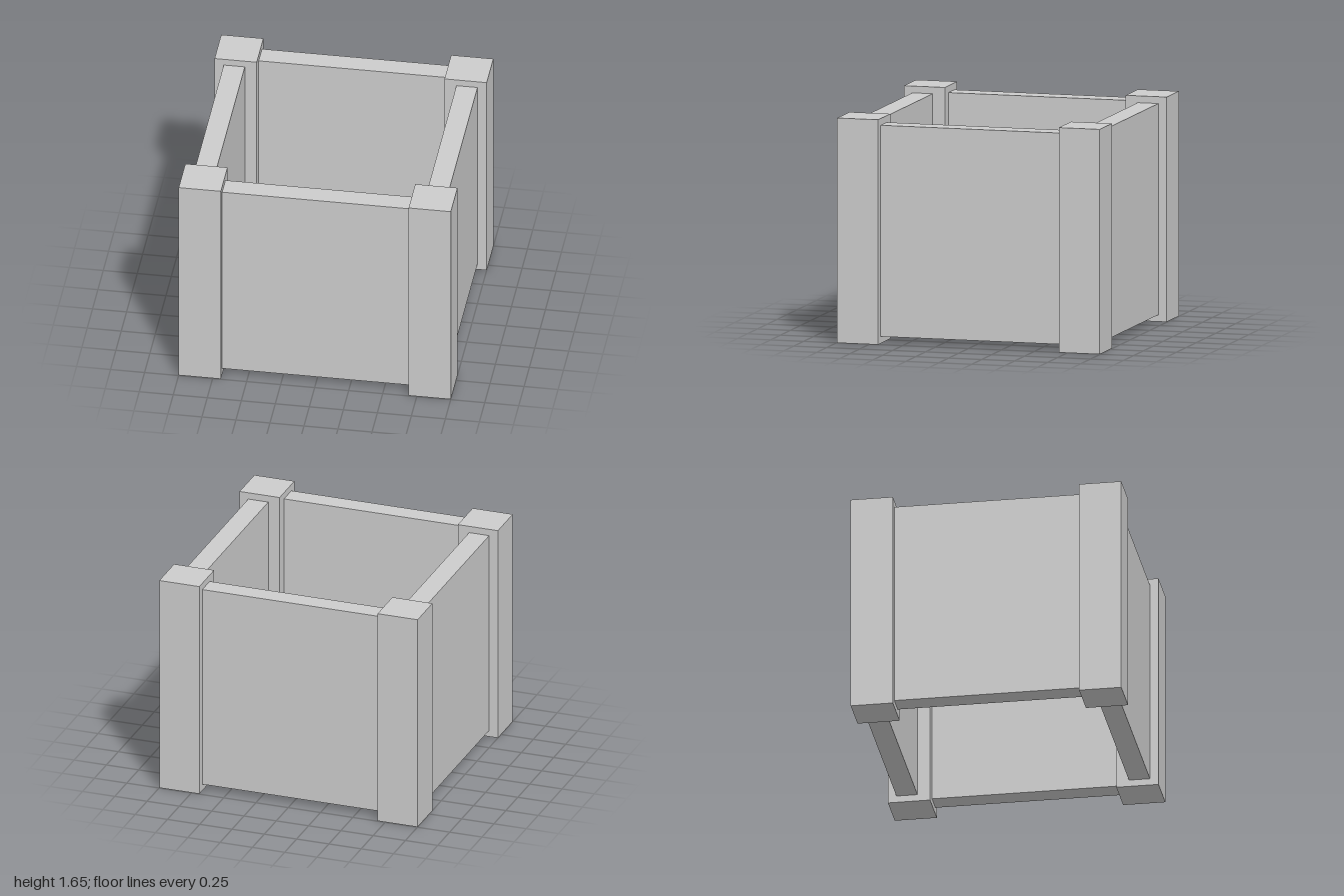
import * as THREE from 'three';

const POST = { width: 0.31, height: 1.65, x: 0.845, z: 0.84 };
const PANEL = { thickness: 0.155, bottom: 0.05, top: 1.6, offset: 0.855 };

export function createModel() {
  const group = new THREE.Group();
  group.name = 'planterBox';
  const material = new THREE.MeshStandardMaterial({ color: 0xcccccc, flatShading: true });

  const addBox = (name, w, h, d, x, y, z) => {
    const mesh = new THREE.Mesh(new THREE.BoxGeometry(w, h, d), material);
    mesh.name = name;
    mesh.position.set(x, y, z);
    group.add(mesh);
  };

  // Four corner posts
  for (const [sideX, xName] of [[1, 'Left'], [-1, 'Right']]) {
    for (const [sideZ, zName] of [[1, 'front'], [-1, 'back']]) {
      addBox(zName + xName + 'Post', POST.width, POST.height, POST.width,
        sideX * POST.x, POST.height / 2, sideZ * POST.z);
    }
  }

  // Four wall panels, raised off the ground and slightly lower than the posts
  const height = PANEL.top - PANEL.bottom;
  const midY = (PANEL.top + PANEL.bottom) / 2;
  const spanX = 2 * POST.x - POST.width;
  const spanZ = 2 * POST.z - POST.width;
  for (const [side, zName, xName] of [[1, 'front', 'left'], [-1, 'back', 'right']]) {
    addBox(zName + 'Panel', spanX, height, PANEL.thickness, 0, midY, side * PANEL.offset);
    addBox(xName + 'Panel', PANEL.thickness, height, spanZ, side * PANEL.offset, midY, 0);
  }

  return group;
}
